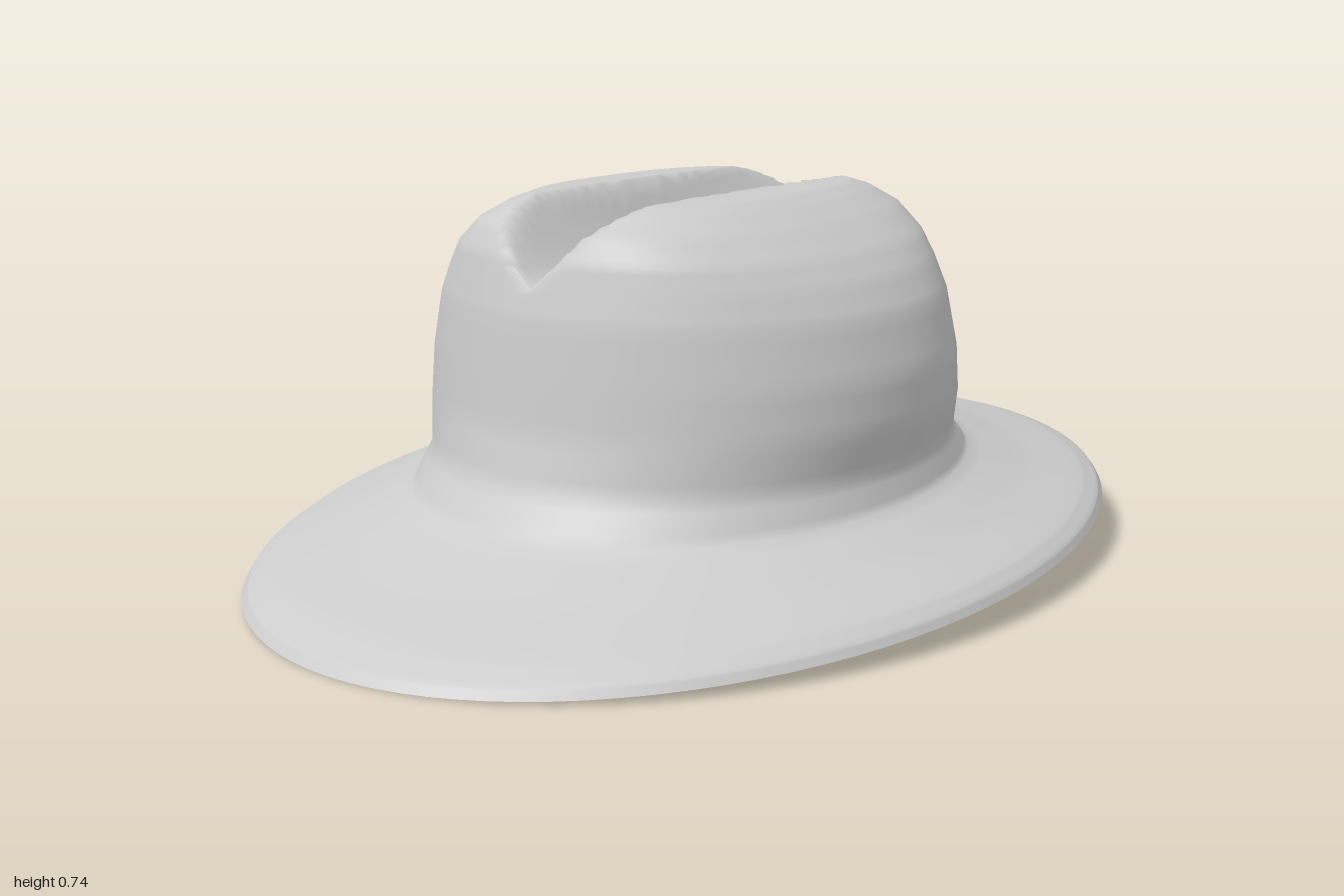
import * as THREE from 'three';

const SEGMENTS = 96;
const SUBDIVISIONS = 4;

// Oval cross-sections from rim to crown top:
// [half width x, half depth z, height, sideways tilt, corner exponent (1 = ellipse)]
const BRIM = [
  [1.0, 0.77, 0.06, 0.056, 1],
  [0.985, 0.762, 0.077, 0.055, 1],
  [0.93, 0.735, 0.098, 0.053, 1],
  [0.77, 0.63, 0.137, 0.052, 1],
  [0.615, 0.53, 0.185, 0.05, 1],
  [0.555, 0.51, 0.247, 0.022, 1],
];
const CROWN = [
  [0.53, 0.53, 0.34, 0.01, 1],
  [0.52, 0.527, 0.43, 0, 1],
  [0.507, 0.495, 0.54, 0, 0.97],
  [0.492, 0.455, 0.6, 0, 0.92],
  [0.48, 0.41, 0.645, 0, 0.85],
  [0.455, 0.34, 0.692, 0, 0.78],
  [0.4, 0.28, 0.724, 0, 0.74],
  [0.345, 0.24, 0.74, 0, 0.72],
  [0.23, 0.18, 0.742, 0, 0.8],
  [0.12, 0.1, 0.742, 0, 0.9],
  [0, 0, 0.742, 0, 1],
];

const signedPower = (v, p) => Math.sign(v) * Math.abs(v) ** p;

// Height of the crease running across the crown: a V at the ends, rounder mid-way
function creaseHeight(x, z) {
  const middle = Math.max(0, 1 - Math.abs(x) / 0.42);
  return 0.59 + 0.15 * (Math.abs(z) / 0.135) ** (1.15 + 0.9 * middle);
}

function subdivide(sections) {
  const rings = [sections[0]];
  for (let i = 1; i < sections.length; i++) {
    for (let k = 1; k <= SUBDIVISIONS; k++) {
      const t = k / SUBDIVISIONS;
      rings.push(sections[i].map((v, n) => THREE.MathUtils.lerp(sections[i - 1][n], v, t)));
    }
  }
  return rings;
}

// Triangles joining neighbouring rings from first to last
function ringIndices(first, last) {
  const index = [];
  for (let i = first; i < last; i++) {
    for (let j = 0; j < SEGMENTS; j++) {
      const next = (j + 1) % SEGMENTS;
      const a = i * SEGMENTS + j;
      const b = i * SEGMENTS + next;
      const c = a + SEGMENTS;
      const d = b + SEGMENTS;
      index.push(a, c, b, b, c, d);
    }
  }
  return index;
}

export function createModel() {
  const rings = subdivide([...BRIM, ...CROWN]);
  const positions = [];
  for (const [rx, rz, height, tilt, power] of rings) {
    for (let j = 0; j < SEGMENTS; j++) {
      const angle = (j / SEGMENTS) * Math.PI * 2;
      const x = rx * signedPower(Math.cos(angle), power);
      const z = rz * signedPower(Math.sin(angle), power);
      const y = height + tilt * x;
      positions.push(x, Math.min(y, creaseHeight(x, z)), z);
    }
  }

  // One continuous felt sheet, so normals stay smooth where brim meets crown
  const sheet = new THREE.BufferGeometry();
  sheet.setAttribute('position', new THREE.Float32BufferAttribute(positions, 3));
  sheet.setIndex(ringIndices(0, rings.length - 1));
  sheet.computeVertexNormals();

  const felt = new THREE.MeshStandardMaterial({ color: 0xcccccc, side: THREE.DoubleSide });
  const hat = new THREE.Group();
  hat.name = 'hat';
  const addPart = (name, first, last) => {
    const geometry = sheet.clone();
    geometry.setIndex(ringIndices(first, last));
    const mesh = new THREE.Mesh(geometry, felt);
    mesh.name = name;
    hat.add(mesh);
  };

  const joint = (BRIM.length - 1) * SUBDIVISIONS;
  addPart('brim', 0, joint);
  addPart('crown', joint, rings.length - 1);
  return hat;
}
